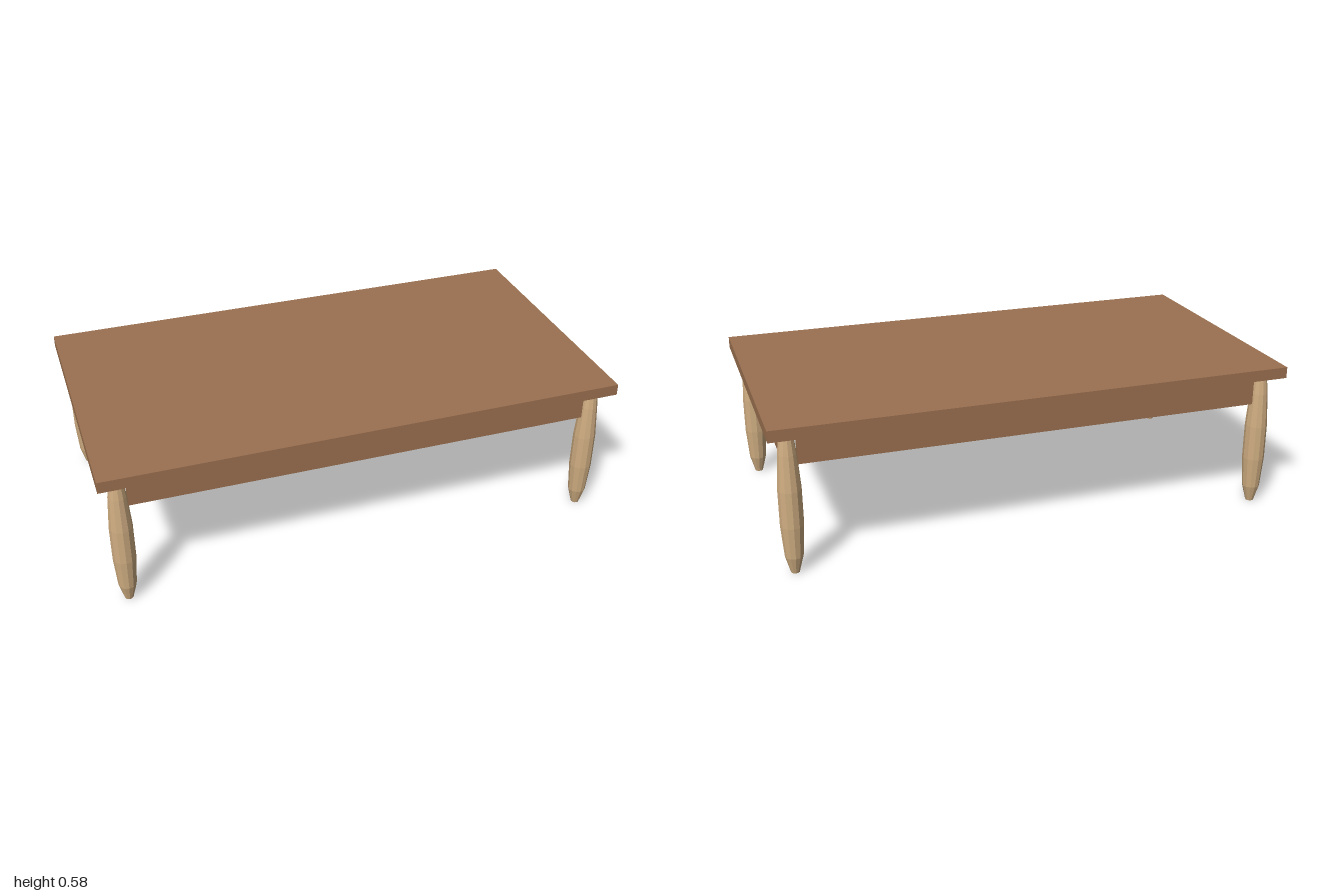
import * as THREE from 'three';

export function createModel() {
  const table = new THREE.Group();
  table.name = 'lowTable';

  const brownWood = new THREE.MeshStandardMaterial({ color: 0x9b7050 });
  brownWood.name = 'brownWood';
  const paleWood = new THREE.MeshStandardMaterial({ color: 0xd0ae82, flatShading: true });
  paleWood.name = 'paleWood';

  const add = (name, geometry, material, x, y, z) => {
    const mesh = new THREE.Mesh(geometry, material);
    mesh.name = name;
    mesh.position.set(x, y, z);
    table.add(mesh);
  };

  const height = 0.585, legTop = 0.541, apronBottom = 0.425;
  const legX = 0.928, legZ = 0.467, gap = 0.035, boardThickness = 0.03;

  // Flat slab top
  add('tableTop', new THREE.BoxGeometry(2, height - legTop, 1.076), brownWood, 0, (height + legTop) / 2, 0);

  // Thin apron boards running between the legs
  const apronHeight = legTop - apronBottom;
  const apronY = (legTop + apronBottom) / 2;
  const longApron = new THREE.BoxGeometry(2 * (legX - gap), apronHeight, boardThickness);
  const shortApron = new THREE.BoxGeometry(boardThickness, apronHeight, 2 * (legZ - gap));
  for (const s of [1, -1]) {
    add(s > 0 ? 'frontApron' : 'backApron', longApron, brownWood, 0, apronY, s * legZ);
    add(s > 0 ? 'leftApron' : 'rightApron', shortApron, brownWood, s * legX, apronY, 0);
  }

  // Turned, faceted legs swelling in the middle
  const profile = [
    [0, 0], [0.016, 0], [0.034, 0.066], [0.043, 0.19],
    [0.043, 0.33], [0.034, 0.465], [0.025, legTop], [0, legTop],
  ].map(([r, y]) => new THREE.Vector2(r, y));
  const leg = new THREE.LatheGeometry(profile, 12);
  for (const sx of [1, -1]) {
    for (const sz of [1, -1]) {
      add((sz > 0 ? 'front' : 'back') + (sx > 0 ? 'Left' : 'Right') + 'Leg', leg, paleWood, sx * legX, 0, sz * legZ);
    }
  }

  return table;
}
